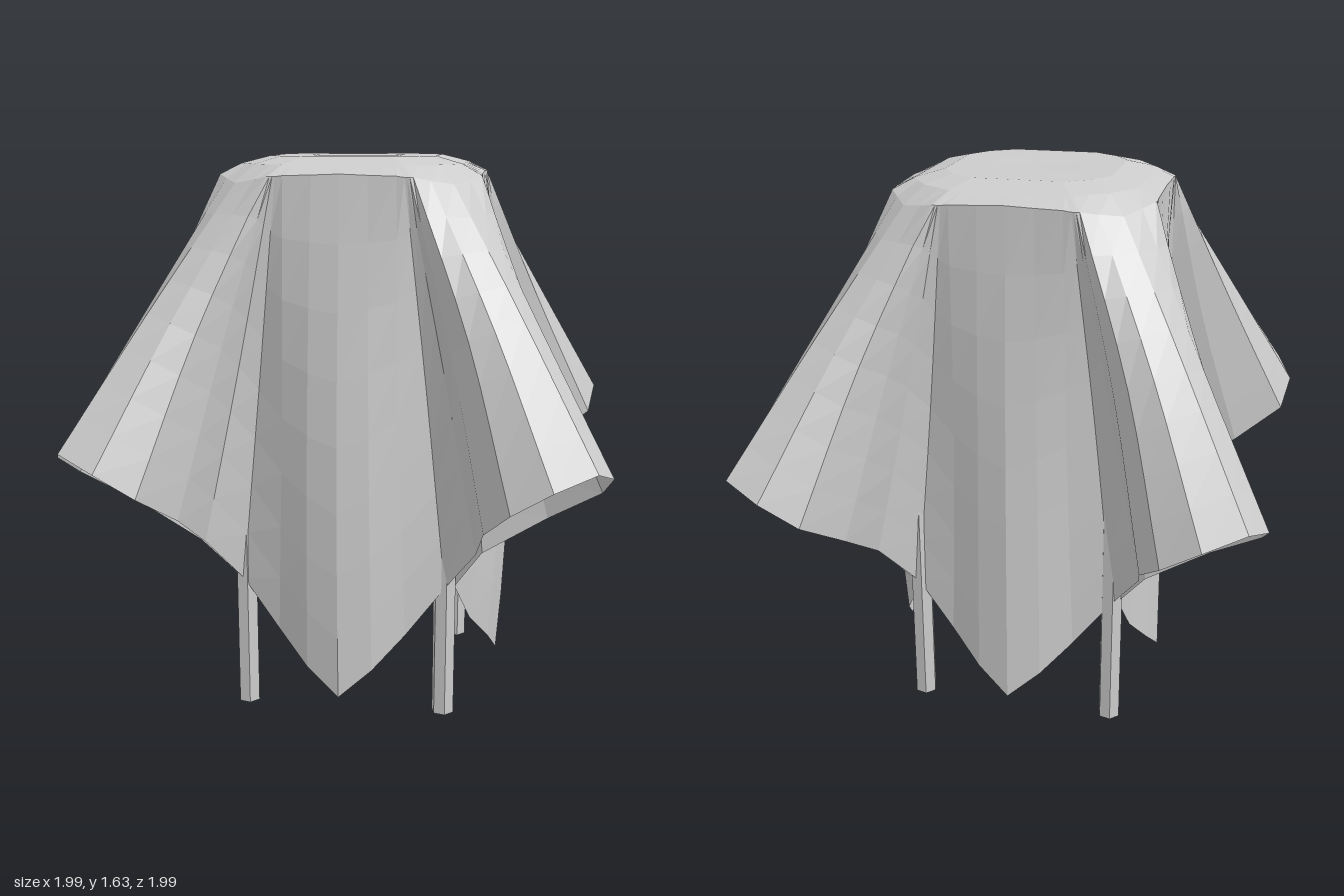
import * as THREE from 'three';

// One eighth of the cloth, from a fold ridge (first) to a hanging corner (last):
// points on the table rim, halfway down, and on the hem.
const RIM = [
  [0.43, 1.56, 0], [0.415, 1.57, 0.07], [0.405, 1.58, 0.122], [0.4, 1.58, 0.13], [0.395, 1.58, 0.135],
  [0.39, 1.58, 0.14], [0.375, 1.583, 0.155], [0.32, 1.585, 0.21], [0.265, 1.588, 0.265],
];
const MIDDLE = [
  [0.715, 1.22, 0], [0.69, 1.2, 0.08], [0.64, 1.17, 0.125], [0.55, 1.12, 0.105], [0.465, 1.05, 0.055],
  [0.4, 0.98, 0.06], [0.362, 0.91, 0.128], [0.328, 0.87, 0.205], [0.28, 0.84, 0.28],
];
const HEM = [
  [0.995, 0.87, 0], [0.95, 0.83, 0.11], [0.86, 0.76, 0.17], [0.71, 0.66, 0.12], [0.565, 0.54, 0.012],
  [0.435, 0.4, 0.012], [0.37, 0.26, 0.105], [0.335, 0.165, 0.2], [0.285, 0.085, 0.285],
];
const CURVES = RIM.map((p, k) =>
  new THREE.CatmullRomCurve3([p, MIDDLE[k], HEM[k]].map((v) => new THREE.Vector3(...v))));
const BULGE = [0.045, 0, 0, 0.07]; // how far each hanging corner swells outward
const COLUMNS = 64, ROWS = 8;
const TOP = [[0, 1.628], [0.35, 1.631], [0.64, 1.631], [0.85, 1.61]]; // top rings: scale, height

// Mirror an eighth into a quadrant, then turn it into place
function place(column, pick) {
  const quadrant = Math.floor(column / 16) % 4;
  const q = column % 16;
  const k = q <= 8 ? q : 16 - q;
  let [x, y, z] = pick(k, quadrant);
  if (q > 8) [x, z] = [z, x];
  for (let i = 0; i < quadrant; i++) [x, z] = [-z, x];
  return [x, y, z];
}

function clothPoint(row, column) {
  return place(column, (k, quadrant) => {
    if (row < TOP.length) {
      const [scale, height] = TOP[row];
      return [RIM[k][0] * scale, height, RIM[k][2] * scale];
    }
    const t = (row - TOP.length) / ROWS;
    const p = CURVES[k].getPoint(t);
    const swell = 0.7 * BULGE[quadrant] * Math.sin(Math.PI * 0.8 * t) * THREE.MathUtils.smoothstep(k, 4, 7);
    return [p.x + swell, p.y, p.z + swell];
  });
}

function clothGeometry() {
  const positions = [], index = [];
  const last = TOP.length + ROWS;
  for (let r = 0; r <= last; r++)
    for (let c = 0; c < COLUMNS; c++) positions.push(...clothPoint(r, c));
  for (let r = 0; r < last; r++) {
    for (let c = 0; c < COLUMNS; c++) {
      const n = (c + 1) % COLUMNS;
      const a = r * COLUMNS + c, d = r * COLUMNS + n;
      const b = a + COLUMNS, e = d + COLUMNS;
      if (r > 0) index.push(a, d, e);
      index.push(a, e, b);
    }
  }
  const geometry = new THREE.BufferGeometry();
  geometry.setAttribute('position', new THREE.Float32BufferAttribute(positions, 3));
  geometry.setIndex(index);
  geometry.computeVertexNormals();
  return geometry;
}

export function createModel() {
  const model = new THREE.Group();
  model.name = 'drapedTable';
  const material = new THREE.MeshStandardMaterial({ color: 0xcccccc, flatShading: true });
  const clothMaterial = material.clone();
  clothMaterial.side = THREE.DoubleSide;

  // Square cloth with four raised folds and four hanging corners
  const cloth = new THREE.Mesh(clothGeometry(), clothMaterial);
  cloth.name = 'tablecloth';
  model.add(cloth);

  // Table top hidden under the cloth
  const top = new THREE.Mesh(new THREE.CylinderGeometry(0.39, 0.39, 0.07, 8), material);
  top.name = 'tableTop';
  top.rotation.y = Math.PI / 8;
  top.position.y = 1.53;
  model.add(top);

  // Four thin legs below the folds
  const legGeometry = new THREE.CylinderGeometry(0.034, 0.034, 1.5, 6);
  for (let i = 0; i < 4; i++) {
    const angle = (i * Math.PI) / 2;
    const leg = new THREE.Mesh(legGeometry, material);
    leg.name = 'leg';
    leg.position.set(0.42 * Math.cos(angle), 0.75, 0.42 * Math.sin(angle));
    model.add(leg);
  }
  return model;
}
